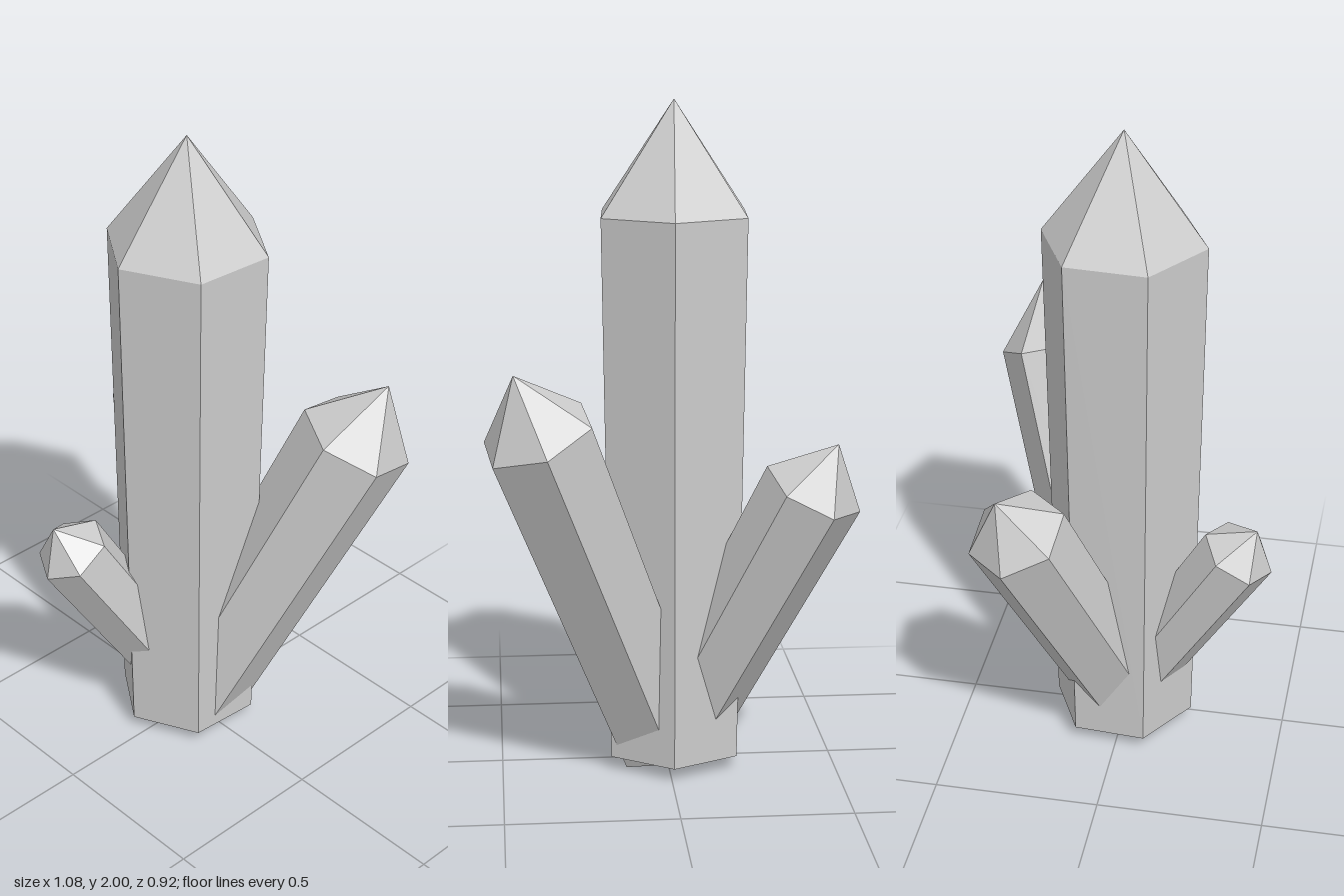
import * as THREE from 'three';

const crystalGrey = new THREE.MeshStandardMaterial({ color: 0xcccccc, flatShading: true });
crystalGrey.name = 'crystal grey';

// Six-sided crystal: shaft from base to shoulder, widening upwards, then a point.
// corner is one corner of the shoulder ring and sets the roll about the axis.
function crystal({ name, base, shoulder, corner, radius, point }) {
  const start = new THREE.Vector3(...base);
  const end = new THREE.Vector3(...shoulder);
  const length = start.distanceTo(end);
  const profile = [
    [0, 0],
    [radius * 0.895, 0],
    [radius, length],
    [0, length + point],
  ].map(([r, y]) => new THREE.Vector2(r, y));
  const geometry = new THREE.LatheGeometry(profile, 6).toNonIndexed();
  geometry.computeVertexNormals();

  // Local y follows the crystal's axis, local z points at the corner
  const up = end.clone().sub(start).normalize();
  const out = new THREE.Vector3(...corner).sub(end);
  out.addScaledVector(up, -out.dot(up)).normalize();
  const side = new THREE.Vector3().crossVectors(up, out);

  const mesh = new THREE.Mesh(geometry, crystalGrey);
  mesh.name = name;
  mesh.quaternion.setFromRotationMatrix(new THREE.Matrix4().makeBasis(side, up, out));
  mesh.position.copy(start);
  return mesh;
}

const crystals = [
  {
    name: 'mainCrystal',
    base: [-0.022, 0.045, -0.005], shoulder: [-0.022, 1.67, -0.005],
    corner: [-0.039, 1.67, 0.237], radius: 0.243, point: 0.33,
  },
  {
    name: 'leftBackCrystal',
    base: [0.013, 0.07, -0.007], shoulder: [0.388, 1.084, -0.298],
    corner: [0.41, 1.12, -0.13], radius: 0.172, point: 0.2,
  },
  {
    name: 'rightBackCrystal',
    base: [-0.032, 0.083, 0.005], shoulder: [-0.406, 0.9, -0.247],
    corner: [-0.27, 0.965, -0.23], radius: 0.15, point: 0.16,
  },
  {
    name: 'smallFrontCrystal',
    base: [-0.04, 0.09, -0.01], shoulder: [-0.136, 0.725, 0.36],
    corner: [-0.035, 0.71, 0.415], radius: 0.115, point: 0.11,
  },
];

export function createModel() {
  const group = new THREE.Group();
  group.name = 'crystalCluster';
  crystals.forEach((c) => group.add(crystal(c)));
  return group;
}
